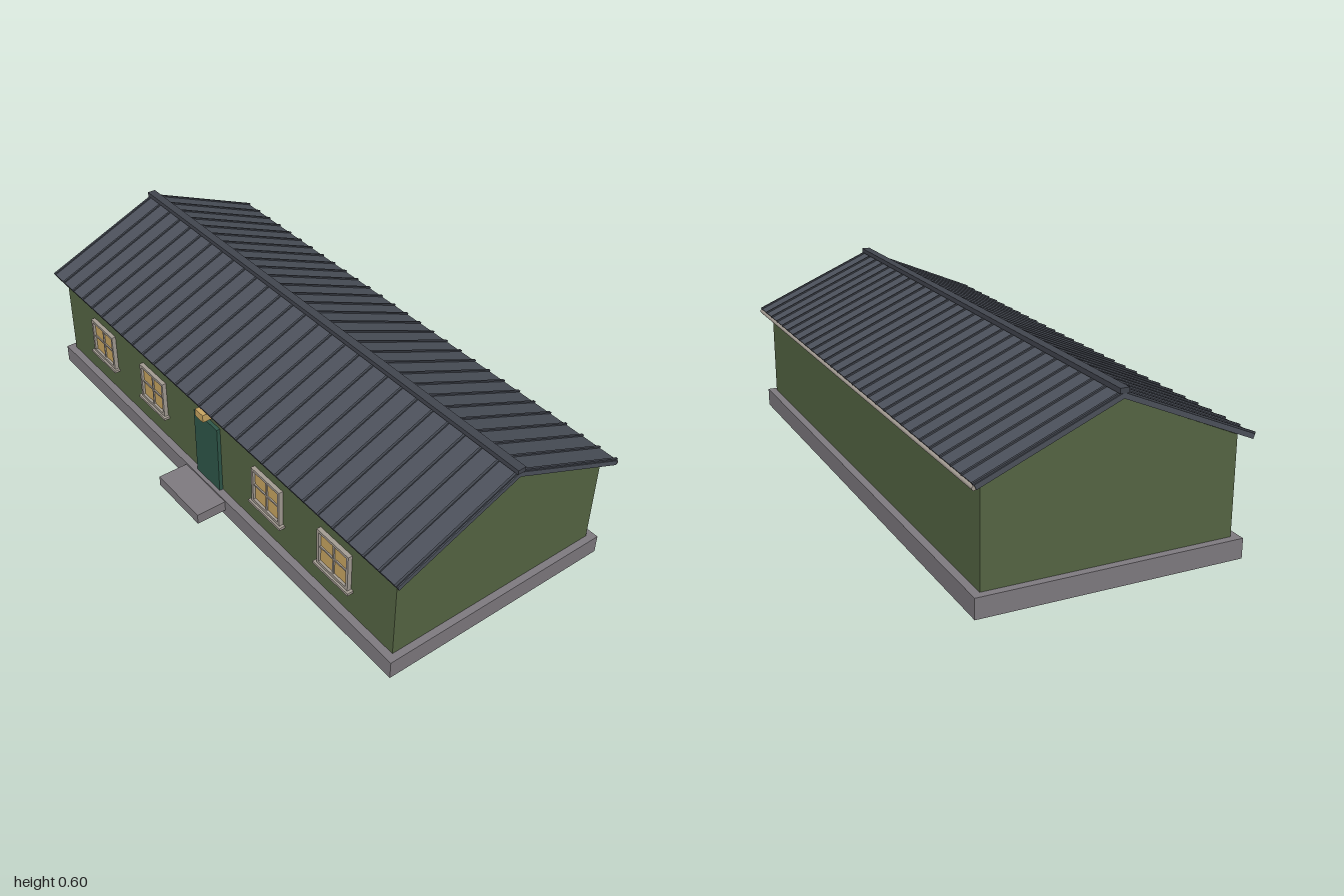
import * as THREE from 'three';

const mat = (name, color) => {
  const m = new THREE.MeshStandardMaterial({ color });
  m.name = name;
  return m;
};

export function createModel() {
  const model = new THREE.Group();
  model.name = 'longHouse';
  const stone = mat('stoneGrey', 0x7f7b80);
  const green = mat('wallGreen', 0x566644);
  const slate = mat('roofSlate', 0x4c515b);
  const dark = mat('roofTrim', 0x42464f);
  const doorGreen = mat('doorGreen', 0x2f5749);
  const frameGrey = mat('frameGrey', 0xa59d94);
  const amber = mat('warmGlass', 0xc9a662);

  // box given by its min and max on each axis
  const box = (parent, name, material, [x0, x1], [y0, y1], [z0, z1]) => {
    const mesh = new THREE.Mesh(new THREE.BoxGeometry(x1 - x0, y1 - y0, z1 - z0), material);
    mesh.position.set((x0 + x1) / 2, (y0 + y1) / 2, (z0 + z1) / 2);
    mesh.name = name;
    parent.add(mesh);
    return mesh;
  };

  const ridgeZ = -0.0485;
  const wallFront = 0.363;

  // plinth and doorstep
  box(model, 'plinth', stone, [-0.985, 0.985], [0, 0.066], [-0.487, 0.39]);
  box(model, 'doorstep', stone, [-0.12, 0.12], [0.022, 0.06], [0.38, 0.5]);

  // walls with gable ends, extruded along the length
  const gable = new THREE.Shape([
    [-0.4115, 0.066], [0.4115, 0.066], [0.4115, 0.39], [0, 0.566], [-0.4115, 0.39],
  ].map(([u, y]) => new THREE.Vector2(u, y)));
  const wallGeo = new THREE.ExtrudeGeometry(gable, { depth: 1.92, bevelEnabled: false });
  wallGeo.translate(0, 0, -0.96).rotateY(Math.PI / 2);
  const walls = new THREE.Mesh(wallGeo, green);
  walls.name = 'walls';
  walls.position.z = ridgeZ;
  model.add(walls);

  // two roof slopes with standing seams
  const roof = new THREE.Group();
  roof.name = 'roof';
  roof.position.set(0, 0.592, ridgeZ);
  model.add(roof);
  for (const [side, turn] of [['front', 0], ['back', Math.PI]]) {
    const half = new THREE.Group();
    half.name = side + 'RoofHalf';
    half.rotation.y = turn;
    const slope = new THREE.Group();
    slope.name = side + 'Slope';
    slope.rotation.x = Math.atan(0.424);
    box(slope, 'roofPanel', slate, [-0.998, 0.998], [-0.02, -0.004], [0, 0.485]);
    for (let i = 0; i < 29; i++) {
      const x = -0.99 + i * (1.98 / 28);
      box(slope, 'roofSeam', dark, [x - 0.004, x + 0.004], [-0.006, 0.001], [0, 0.487]);
    }
    half.add(slope);
    roof.add(half);
  }
  box(model, 'ridgeCap', dark, [-1, 1], [0.586, 0.602], [ridgeZ - 0.015, ridgeZ + 0.015]);

  // gutter along the back eave
  const gutter = new THREE.Mesh(new THREE.CylinderGeometry(0.007, 0.007, 1.99, 10), frameGrey);
  gutter.name = 'backGutter';
  gutter.rotation.z = Math.PI / 2;
  gutter.position.set(0, 0.389, -0.493);
  model.add(gutter);

  // door and lamp above it
  box(model, 'door', doorGreen, [-0.07, 0.068], [0.066, 0.33], [wallFront - 0.005, 0.376]);
  box(model, 'doorLamp', amber, [-0.025, 0.021], [0.343, 0.372], [wallFront - 0.005, 0.398]);

  // four-pane windows
  for (const x of [-0.69, -0.345, 0.34, 0.685]) {
    const win = new THREE.Group();
    win.name = 'window';
    win.position.set(x, 0.24, wallFront);
    const w = 0.076, h = 0.07, t = 0.01;
    box(win, 'pane', amber, [-w + t, w - t], [-h + t, h - t], [-0.002, 0.006]);
    for (const s of [-1, 1]) {
      box(win, 'frameSide', frameGrey, [s * (w - t / 2) - t / 2, s * (w - t / 2) + t / 2], [-h, h], [-0.002, 0.015]);
      box(win, 'frameRail', frameGrey, [-w + t, w - t], [s * (h - t / 2) - t / 2, s * (h - t / 2) + t / 2], [-0.002, 0.015]);
    }
    box(win, 'glazingBarUpright', frameGrey, [-0.003, 0.003], [-h + t, h - t], [0, 0.011]);
    box(win, 'glazingBarAcross', frameGrey, [-w + t, w - t], [-0.003, 0.003], [0, 0.0105]);
    box(win, 'sill', frameGrey, [-0.086, 0.086], [-0.079, -0.07], [-0.002, 0.022]);
    model.add(win);
  }
  return model;
}
